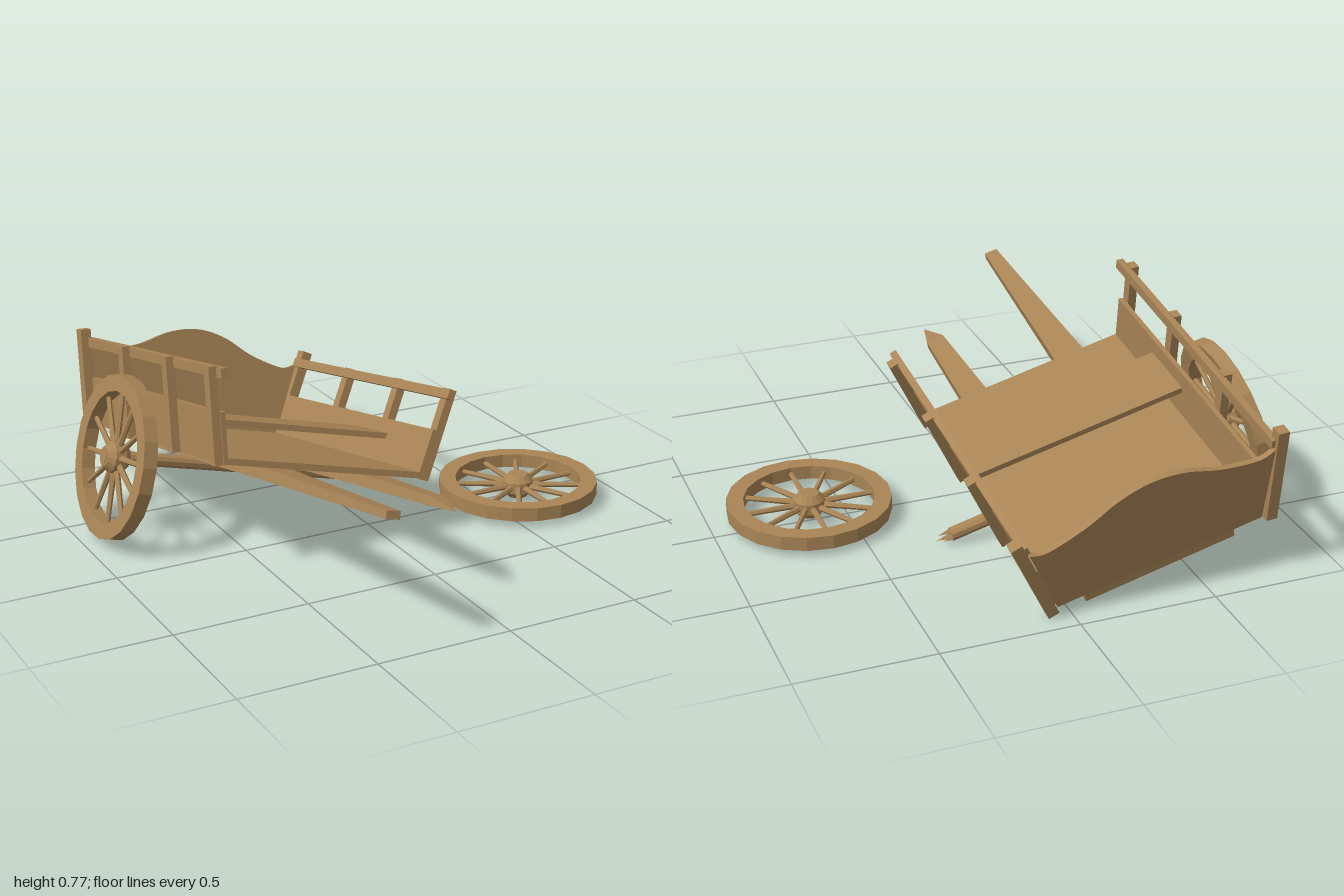
import * as THREE from 'three';

export function createModel() {
  const wood = new THREE.MeshStandardMaterial({ color: 0xa98556, flatShading: true });
  wood.name = 'weatheredWood';

  const add = (parent, name, geo, x = 0, y = 0, z = 0) => {
    const m = new THREE.Mesh(geo, wood);
    m.name = name;
    m.position.set(x, y, z);
    parent.add(m);
    return m;
  };
  // box given by its min and max corners
  const slab = (parent, name, x0, x1, y0, y1, z0, z1) =>
    add(parent, name, new THREE.BoxGeometry(x1 - x0, y1 - y0, z1 - z0),
      (x0 + x1) / 2, (y0 + y1) / 2, (z0 + z1) / 2);

  // beam lofted along z from rectangles [z, xMin, xMax, yMin, yMax]
  const beam = (rows) => {
    const pos = [], idx = [];
    for (const [z, a, b, c, d] of rows) pos.push(a, c, z, b, c, z, b, d, z, a, d, z);
    for (let i = 0; i < rows.length - 1; i++) {
      for (let j = 0; j < 4; j++) {
        const p = i * 4 + j, q = i * 4 + (j + 1) % 4;
        idx.push(p, q, q + 4, p, q + 4, p + 4);
      }
    }
    const e = (rows.length - 1) * 4;
    idx.push(0, 2, 1, 0, 3, 2, e, e + 1, e + 2, e, e + 2, e + 3);
    const g = new THREE.BufferGeometry();
    g.setAttribute('position', new THREE.Float32BufferAttribute(pos, 3));
    g.setIndex(idx);
    const flat = g.toNonIndexed();
    flat.computeVertexNormals();
    return flat;
  };

  const lathe = (pts, n) => new THREE.LatheGeometry(pts.map(p => new THREE.Vector2(...p)), n);

  // spoked wheel lying flat, axis along y
  const makeWheel = (name) => {
    const wheel = new THREE.Group();
    wheel.name = name;
    add(wheel, 'rim', lathe([[0.302, -0.026], [0.302, 0.026], [0.24, 0.026], [0.24, -0.026], [0.302, -0.026]], 20));
    add(wheel, 'hub', lathe([[0, -0.045], [0.036, -0.045], [0.058, -0.02], [0.058, 0.02], [0.036, 0.045], [0, 0.045]], 14));
    for (let i = 0; i < 12; i++) {
      const pivot = new THREE.Group();
      pivot.name = 'spoke';
      pivot.rotation.y = i * Math.PI / 6;
      const s = add(pivot, 'spokeBar', new THREE.CylinderGeometry(0.012, 0.009, 0.21, 6), 0.145, 0, 0);
      s.rotation.z = Math.PI / 2;
      wheel.add(pivot);
    }
    return wheel;
  };

  const model = new THREE.Group();
  model.name = 'brokenCart';

  // cart, slumped onto its wheelless side; local origin at the axle middle
  const cart = new THREE.Group();
  cart.name = 'cart';
  cart.position.set(-0.319, 0.175, -0.333);
  cart.rotation.set(-0.195, 0, -0.255, 'ZYX');
  model.add(cart);

  slab(cart, 'floor', -0.39, 0.39, 0.062, 0.085, -0.556, 0.556);
  slab(cart, 'seatPlank', -0.413, 0.413, 0.17, 0.192, 0.03, 0.265);
  slab(cart, 'rearCrossbar', -0.12, 0.12, 0.02, 0.062, -0.565, -0.52);

  // shafts: one whole, one snapped to a splintered point
  add(cart, 'rightShaft', beam([
    [-0.565, -0.285, -0.09, 0.02, 0.063],
    [0.556, -0.258, -0.137, 0.02, 0.062],
    [1.365, -0.235, -0.183, 0.017, 0.045]]));
  add(cart, 'brokenShaft', beam([
    [-0.565, 0.09, 0.285, 0.02, 0.063],
    [0.556, 0.15, 0.255, 0.02, 0.062],
    [0.975, 0.168, 0.238, 0.019, 0.053],
    [1.085, 0.205, 0.21, 0.018, 0.021]]));

  // flared sides: boards, posts and top rail
  for (const s of [-1, 1]) {
    const side = new THREE.Group();
    side.name = s > 0 ? 'leftSide' : 'rightSide';
    side.position.set(s * 0.39, 0.062, 0);
    side.rotation.z = -s * 0.21;
    cart.add(side);
    const part = (name, a, b, y0, y1, z0, z1) =>
      slab(side, name, Math.min(s * a, s * b), Math.max(s * a, s * b), y0, y1, z0, z1);
    part('sideBoard', -0.004, 0.014, 0, 0.185, -0.556, 0.556);
    part('topRail', -0.008, 0.018, 0.305, 0.34, -0.585, 0.59);
    for (const z of [0.532, 0.19, -0.19]) part('post', 0.013, 0.046, 0, 0.345, z - 0.02, z + 0.02);
    part('rearPost', 0.005, 0.046, 0, 0.375, -0.6, -0.556);
  }

  // tailboard with a bell-shaped top edge
  const tail = new THREE.Shape();
  tail.moveTo(-0.39, 0);
  tail.lineTo(0.39, 0);
  tail.lineTo(0.455, 0.305);
  tail.splineThru([[0.39, 0.288], [0.25, 0.325], [0.12, 0.385], [0, 0.407],
    [-0.12, 0.385], [-0.25, 0.325], [-0.39, 0.288], [-0.455, 0.305]].map(p => new THREE.Vector2(...p)));
  tail.closePath();
  const board = add(cart, 'tailboard',
    new THREE.ExtrudeGeometry(tail, { depth: 0.02, bevelEnabled: false, curveSegments: 16 }), 0, 0.062, -0.575);
  board.rotation.x = -0.08;

  // axle with splintered end
  const axle = add(cart, 'axle', new THREE.CylinderGeometry(0.025, 0.025, 1.16, 10), -0.025, 0, 0);
  axle.rotation.z = Math.PI / 2;
  for (let i = 0; i < 5; i++) {
    const a = i * Math.PI * 0.4, len = 0.035 + 0.012 * (i % 3);
    const c = add(cart, 'splinter', new THREE.ConeGeometry(0.011, len, 4),
      0.553 + len / 2, 0.014 * Math.cos(a), 0.014 * Math.sin(a));
    c.rotation.z = -Math.PI / 2;
  }

  // wheel still on the axle
  const mounted = makeWheel('mountedWheel');
  mounted.position.set(-0.558, 0, 0);
  mounted.rotation.z = Math.PI / 2;
  cart.add(mounted);

  // wheel lying on the ground
  const loose = makeWheel('looseWheel');
  loose.position.set(0.633, 0.053, 0.035);
  model.add(loose);

  return model;
}
